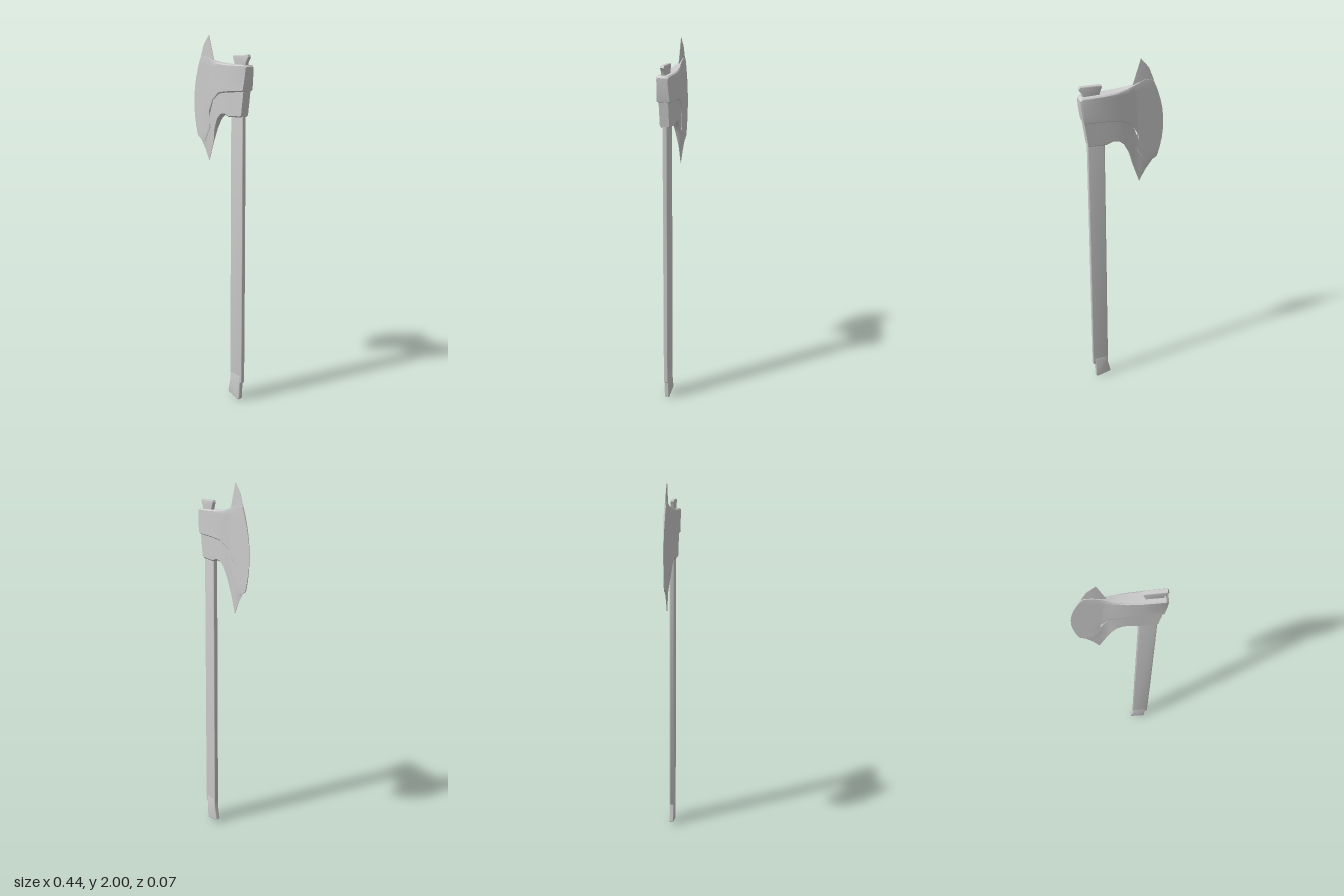
import * as THREE from 'three';
import { toCreasedNormals } from 'three/addons/utils/BufferGeometryUtils.js';

const material = new THREE.MeshStandardMaterial({ color: 0xcccccc });

// Half thickness of the head along x: thin cutting edge, swelling cheek, flat poll
const PROFILE = [[-0.222, 0.001], [-0.06, 0.0115], [-0.03, 0.02], [0, 0.027], [0.07, 0.033], [0.208, 0.034], [0.222, 0.027]];

function headHalf(x) {
  if (x <= PROFILE[0][0]) return PROFILE[0][1];
  for (let i = 1; i < PROFILE.length; i++) {
    const [x0, z0] = PROFILE[i - 1], [x1, z1] = PROFILE[i];
    if (x <= x1) return z0 + (z1 - z0) * (x - x0) / (x1 - x0);
  }
  return PROFILE[PROFILE.length - 1][1];
}

// Skin over stations running towards +x, each [topX, topY, bottomX, bottomY, bow]
function loft(name, stations, half) {
  const ts = [0, 0.04, 0.12, 0.25, 0.375, 0.5, 0.625, 0.75, 0.88, 0.96, 1];
  const m = ts.length * 2, pos = [], index = [];
  for (const [tx, ty, bx, by, bow = 0] of stations) {
    const front = ts.map(t => {
      const x = tx + (bx - tx) * t - bow * 4 * t * (1 - t);
      return [x, ty + (by - ty) * t, Math.max(half(x, t), 0.0005)];
    });
    front.forEach(p => pos.push(...p));
    front.reverse().forEach(([x, y, z]) => pos.push(x, y, -z));
  }
  for (let i = 0; i < stations.length - 1; i++) {
    for (let j = 0; j < m; j++) {
      const a = i * m + j, b = i * m + (j + 1) % m;
      index.push(a, b, a + m, b, b + m, a + m);
    }
  }
  // End caps
  const last = (stations.length - 1) * m;
  for (let k = 0; k < ts.length - 1; k++) {
    const a = k, b = k + 1, c = m - 1 - k, d = m - 2 - k;
    index.push(a, c, b, b, c, d);
    index.push(a + last, b + last, c + last, b + last, d + last, c + last);
  }
  const geo = new THREE.BufferGeometry();
  geo.setAttribute('position', new THREE.Float32BufferAttribute(pos, 3));
  geo.setIndex(index);
  return mesh(name, geo);
}

// Flat bar with rounded edges, cut to an outline
function bar(name, outline, half, bevel) {
  const shape = new THREE.Shape(outline.map(p => new THREE.Vector2(...p)));
  const depth = 2 * (half - bevel);
  const geo = new THREE.ExtrudeGeometry(shape, {
    depth, bevelSize: bevel, bevelThickness: bevel, bevelOffset: -bevel, bevelSegments: 3,
  });
  geo.translate(0, 0, -depth / 2);
  return mesh(name, geo);
}

function mesh(name, geo) {
  const part = new THREE.Mesh(toCreasedNormals(geo, 0.6), material);
  part.name = name;
  return part;
}

// Chamfer along the top and bottom rims
const rim = t => (t === 0 || t === 1 ? 0.8 : 1);

export function createModel() {
  const axe = new THREE.Group();
  axe.name = 'axe';

  // Thick upper blade from cutting edge to poll
  axe.add(loft('blade', [
    [-0.16, 1.886, -0.19, 1.463, 0.046],
    [-0.14, 1.892, -0.165, 1.45, 0.04],
    [-0.116, 1.892, -0.127, 1.437, 0.03],
    [-0.085, 1.882, -0.08, 1.516, 0.01],
    [-0.07, 1.876, -0.09, 1.553],
    [-0.053, 1.87, -0.085, 1.606],
    [-0.02, 1.862, -0.053, 1.66],
    [0.037, 1.855, 0.01, 1.7],
    [0.1, 1.851, 0.08, 1.71],
    [0.21, 1.85, 0.198, 1.716],
    [0.222, 1.84, 0.207, 1.722, -0.002],
  ], (x, t) => headHalf(x) * rim(t)));

  // Thinner collar sweeping down into the lower spike
  axe.add(loft('collar', [
    [-0.17, 1.46, -0.17, 1.452],
    [-0.127, 1.52, -0.127, 1.394],
    [-0.095, 1.56, -0.095, 1.333],
    [-0.07, 1.62, -0.058, 1.437],
    [-0.05, 1.67, -0.037, 1.51],
    [0, 1.71, -0.01, 1.563],
    [0.03, 1.72, 0.02, 1.59],
    [0.06, 1.73, 0.053, 1.595],
    [0.09, 1.73, 0.09, 1.583],
    [0.193, 1.73, 0.178, 1.588],
    [0.205, 1.73, 0.186, 1.592],
  ], (x, t) => headHalf(x) * 0.72 * rim(t) * (x < -0.05 ? 1 - 0.8 * t : 1)));

  // Upper spike, tapering to its tip
  axe.add(loft('topSpike', [
    [-0.164, 1.885, -0.14, 1.8],
    [-0.138, 1.95, -0.125, 1.8],
    [-0.095, 2, -0.095, 1.8],
    [-0.053, 1.868, -0.065, 1.8],
  ], (x, t) => 0.001 + 0.004 * t));

  // Small cap where the shaft comes out on top
  axe.add(bar('topCap', [
    [0.118, 1.83], [0.2, 1.83], [0.204, 1.858], [0.222, 1.888], [0.216, 1.9], [0.11, 1.898], [0.105, 1.888], [0.117, 1.855],
  ], 0.011, 0.005));

  // Shaft and slanted foot
  axe.add(bar('handle', [
    [0.098, 0.125], [0.185, 0.105], [0.191, 0.112], [0.19, 0.7], [0.186, 1.65], [0.095, 1.65], [0.095, 0.13],
  ], 0.0125, 0.006));
  axe.add(bar('pommel', [
    [0.08, 0.025], [0.088, 0.018], [0.165, 0], [0.173, 0.008], [0.174, 0.05], [0.18, 0.15], [0.098, 0.15], [0.096, 0.1],
  ], 0.0135, 0.006));

  return axe;
}
